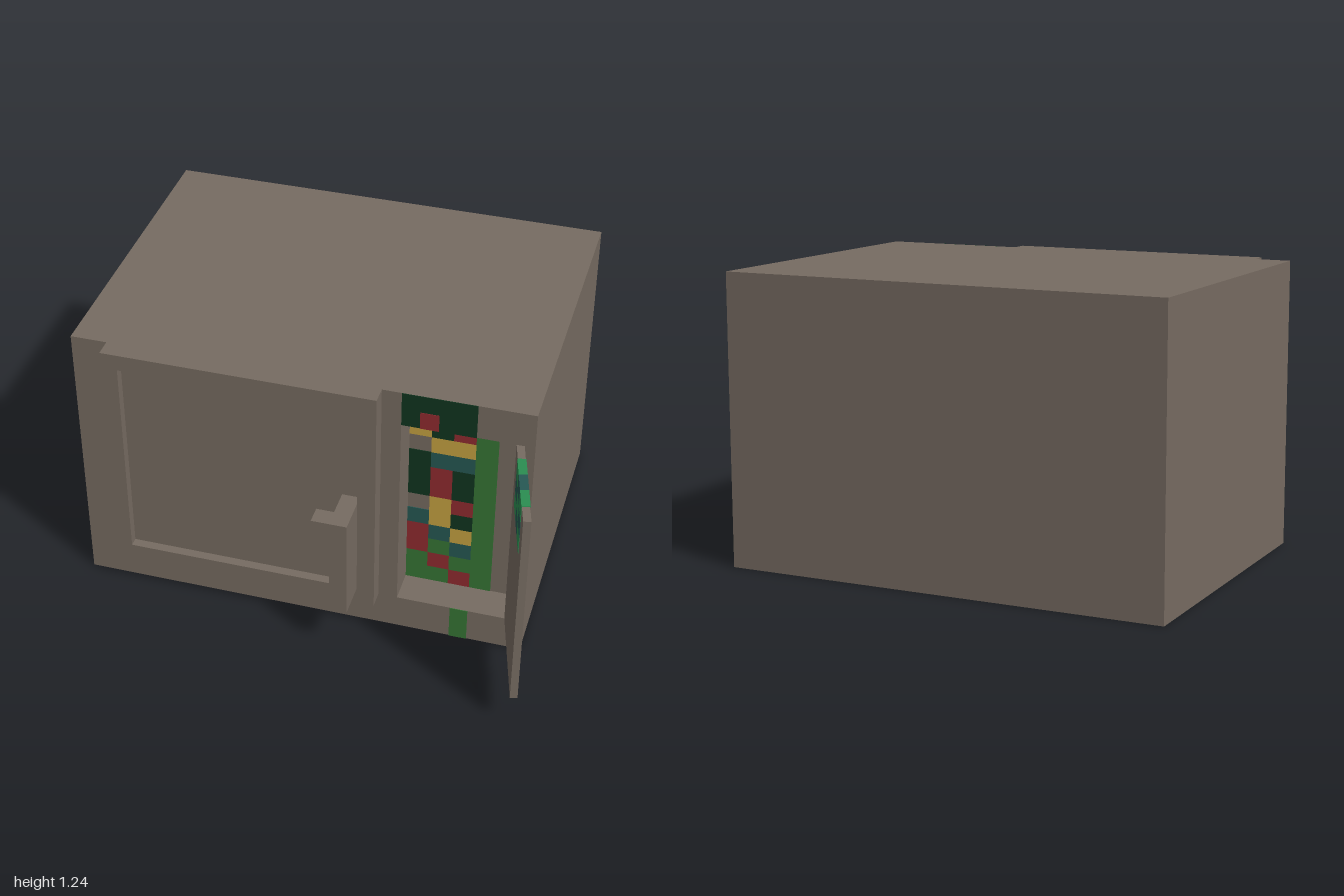
import * as THREE from 'three';

const mat = (name, color) => {
  const m = new THREE.MeshStandardMaterial({ color });
  m.name = name;
  return m;
};

export function createModel() {
  const group = new THREE.Group();
  const brown = mat('brown casing', 0x766b61);
  const paint = {
    K: mat('dark green', 0x10351f),
    R: mat('red', 0x902b30),
    Y: mat('yellow', 0xc6a341),
    T: mat('teal', 0x265853),
    G: mat('leaf green', 0x367535),
    E: mat('bright green', 0x2b8d51),
  };

  // Box given by its low and high corners
  const block = (name, material, [x0, y0, z0], [x1, y1, z1], parent = group) => {
    const mesh = new THREE.Mesh(new THREE.BoxGeometry(x1 - x0, y1 - y0, z1 - z0), material);
    mesh.position.set((x0 + x1) / 2, (y0 + y1) / 2, (z0 + z1) / 2);
    mesh.name = name;
    parent.add(mesh);
    return mesh;
  };

  const rect = (Type, x0, y0, x1, y1) => new Type([
    new THREE.Vector2(x0, y0), new THREE.Vector2(x1, y0),
    new THREE.Vector2(x1, y1), new THREE.Vector2(x0, y1),
  ]);

  // Slab with a rectangular opening through it
  const frame = (name, outer, hole, z0, z1) => {
    const shape = rect(THREE.Shape, ...outer);
    shape.holes.push(rect(THREE.Path, ...hole));
    const geo = new THREE.ExtrudeGeometry(shape, { depth: z1 - z0, bevelEnabled: false });
    const mesh = new THREE.Mesh(geo, brown);
    mesh.position.z = z0;
    mesh.name = name;
    group.add(mesh);
  };

  // Casing with the open compartment at the front
  const front = 0.468, back = 0.318, low = 0.157, high = 1.08;
  block('casing', brown, [-1, 0, -0.915], [0.925, 1.235, back]);
  frame('casingFront', [-1, 0, 0.925, 1.235], [0.386, low, 0.85, high], back, front);

  // Main door with a sunken window panel
  frame('doorFrame', [-0.845, low, 0.305, 1.235], [-0.775, 0.235, 0.23, 1.163], front, 0.545);
  block('windowPanel', brown, [-0.775, 0.235, front], [0.23, 1.163, 0.505]);

  // Handle: upright bar with a hook at the top
  block('handleBar', brown, [0.155, 0.235, 0.505], [0.23, 0.7, 0.7]);
  block('handleHook', brown, [0.08, 0.622, 0.622], [0.155, 0.7, 0.7]);

  // Coloured squares on the compartment's back wall, top to bottom per column
  const columns = ['YY.KKK.TRRGG', 'RKYTRRYYTGRG', 'KRYTKKRKYTGR', 'GGGGGGGGGGGG'];
  const w = 0.0925, h = (high - low) / 12;
  const wall = new THREE.Group();
  wall.name = 'compartmentSquares';
  group.add(wall);
  columns.forEach((column, c) => [...column].forEach((key, r) => {
    if (key === '.') return;
    const x = 0.386 + c * w, y = high - (r + 1) * h;
    block('square', paint[key], [x, y, back], [x + w, y + h, back + 0.003], wall);
  }));

  // Painted patches on the front face above and below the compartment
  block('upperPatch', paint.K, [0.387, high, front], [0.692, 1.235, front + 0.003]);
  block('upperSquare', paint.R, [0.463, high, front], [0.54, 1.158, front + 0.005]);
  block('lowerStripe', paint.G, [0.616, 0, front], [0.692, low, front + 0.003]);

  // Small door, swung open about its inner hinge edge
  const smallDoor = new THREE.Group();
  smallDoor.name = 'smallDoor';
  smallDoor.position.set(0.85, 0, front);
  smallDoor.rotation.y = THREE.MathUtils.degToRad(15);
  group.add(smallDoor);
  const thick = 0.031;
  block('smallDoorPanel', brown, [0, low, 0], [thick, high, 0.46], smallDoor);

  // Chequered patch wrapping both faces and the top edge of the small door
  const s = 0.095, e = 0.002;
  for (let c = 0; c < 3; c++) for (let r = 0; r < 3; r++) {
    const z = 0.089 + c * s, y = high + e - (r + 1) * 0.078;
    block('chequer', (c + r) % 2 ? paint.T : paint.E,
      [-e, y, z], [thick + e, y + 0.078, z + s], smallDoor);
  }

  return group;
}
